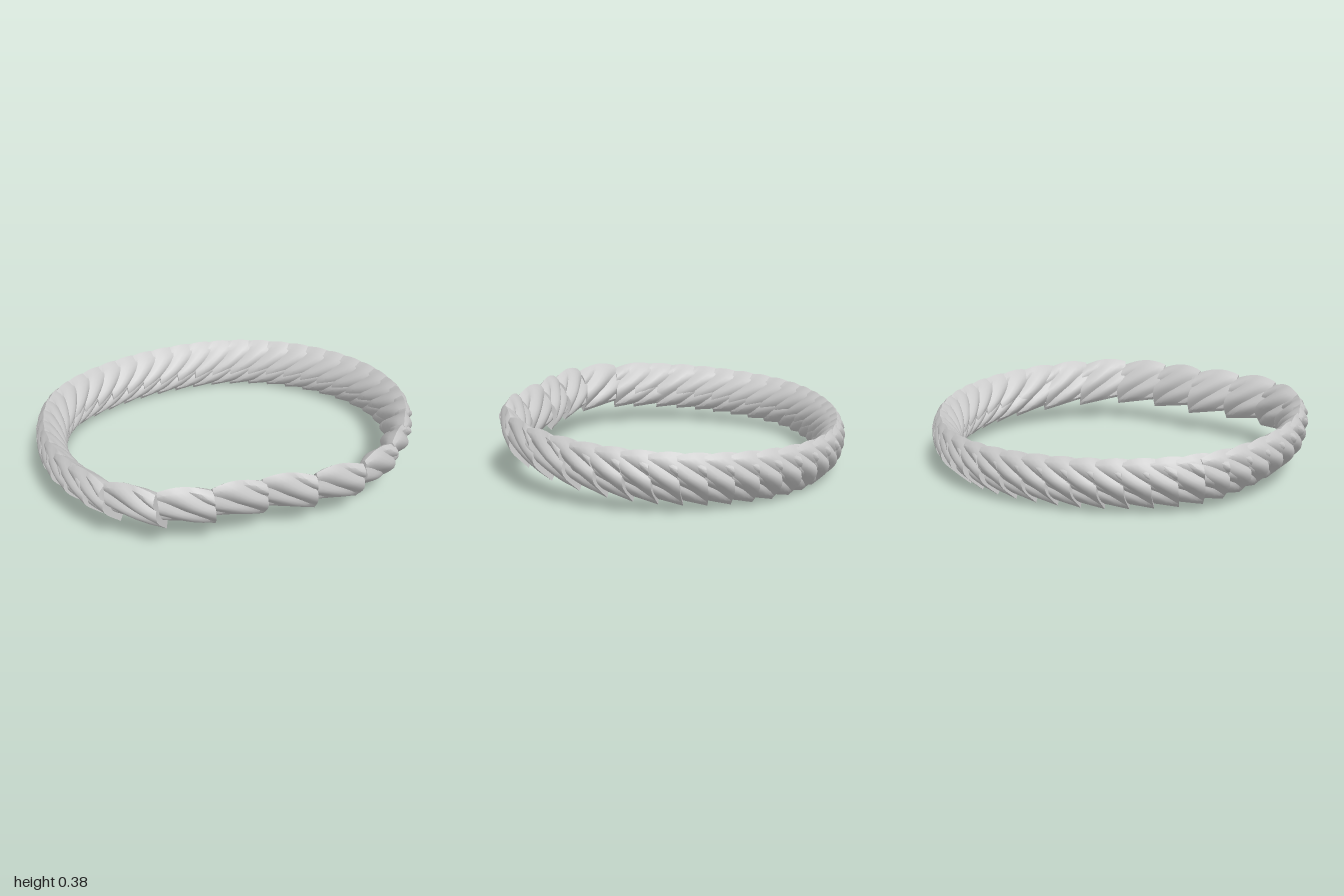
import * as THREE from 'three';
import { toCreasedNormals } from 'three/addons/utils/BufferGeometryUtils.js';

// Uneven ring path as [x, z], starting front left and running to +x along the front
const RING = [
  [-0.56, 0.73], [-0.36, 0.85], [-0.17, 0.895], [0.04, 0.85], [0.2, 0.76], [0.4, 0.63],
  [0.6, 0.54], [0.77, 0.4], [0.875, 0.2], [0.92, -0.02], [0.9, -0.3], [0.79, -0.55],
  [0.62, -0.73], [0.4, -0.85], [0.1, -0.91], [-0.2, -0.86], [-0.45, -0.72],
  [-0.67, -0.52], [-0.83, -0.28], [-0.92, -0.04], [-0.91, 0.15], [-0.83, 0.39], [-0.71, 0.59]
];
const LINK_LENGTH = 0.265;
const LEAN = 0.036; // the top edge tips outward, the bottom edge inward
const ROWS = 9;
const HALF = 12; // steps down each face, so each strand is six steps high
const SIDES = HALF * 2;

// The ring is higher at the front and at the left
const liftAt = (x, z) => 0.202 + 0.06 * z + 0.026 * x;

// One leaf-like link: a sharp-edged lens section with slanted strands, flaring to its far end
function makeLink(start, end, halfThickness) {
  const along = end.clone().sub(start);
  const tangent = along.clone().normalize();
  const outward = tangent.clone().cross(new THREE.Vector3(0, 1, 0)).normalize();
  const positions = [];
  const index = [];

  // The first and last rings collapse to the centre to close the ends
  for (let i = 0; i <= ROWS + 2; i++) {
    const row = THREE.MathUtils.clamp(i - 1, 0, ROWS);
    const u = row / ROWS;
    const open = i === 0 || i === ROWS + 2 ? 0 : 1;
    const flare = 0.76 + 0.32 * Math.sin(u * 1.9);
    for (let j = 0; j < SIDES; j++) {
      const step = j <= HALF ? j : SIDES - j;
      const v = 1 - (2 * step) / HALF;
      // rounded strands drop one step per row, with sharp valleys between
      const strand = 0.66 + 0.42 * Math.abs(Math.sin((Math.PI * (row - step + 2)) / 6));
      const lens = Math.pow(1 - v * v, 0.72);
      const wide = halfThickness * flare * strand * lens * (j < HALF ? 1 : -1) + LEAN * v;
      const high = v > 0
        ? v * (0.095 + 0.037 * Math.sin(Math.PI * (u * 0.85 + 0.15)))
        : v * (0.088 + 0.05 * u);
      const p = start.clone().addScaledVector(along, u)
        .addScaledVector(outward, wide * open)
        .addScaledVector(tangent, -0.01 * v * open);
      p.y += high * open;
      positions.push(p.x, p.y, p.z);
    }
  }
  for (let i = 0; i < ROWS + 2; i++) {
    for (let j = 0; j < SIDES; j++) {
      const a = i * SIDES + j, b = i * SIDES + (j + 1) % SIDES;
      const c = a + SIDES, d = b + SIDES;
      if (i === 0) index.push(b, d, c);
      else if (i === ROWS + 1) index.push(a, b, c);
      // the quads split along the strands on both faces
      else if (j < HALF) index.push(a, b, d, a, d, c);
      else index.push(a, b, c, b, d, c);
    }
  }
  const geometry = new THREE.BufferGeometry();
  geometry.setAttribute('position', new THREE.Float32BufferAttribute(positions, 3));
  geometry.setIndex(index);
  return toCreasedNormals(geometry, 0.6);
}

export function createModel() {
  const model = new THREE.Group();
  model.name = 'braidedRing';
  const material = new THREE.MeshStandardMaterial({ color: 0xcccccc });

  const path = new THREE.CatmullRomCurve3(
    RING.map(([x, z]) => new THREE.Vector3(x, liftAt(x, z), z)), true);
  path.arcLengthDivisions = 600;
  const total = path.getLength();
  const pointAt = (s) => path.getPointAt((s / total) % 1);

  // Links stand end to end along the front and overlap closely around the back
  let s = 0;
  while (s < total - 0.06) {
    const spread = 1 - THREE.MathUtils.smoothstep(s, 1.3, 2.3)
      + 0.4 * THREE.MathUtils.smoothstep(s, total - 0.6, total);
    // the straighter stretch at the front left is slimmer
    const slim = Math.exp(-Math.pow((s - 1.1) / 0.5, 2));
    const link = new THREE.Mesh(
      makeLink(pointAt(s), pointAt(s + LINK_LENGTH), 0.066 - 0.016 * slim), material);
    link.name = 'braidLink';
    model.add(link);
    s += 0.12 + 0.133 * spread;
  }
  return model;
}
